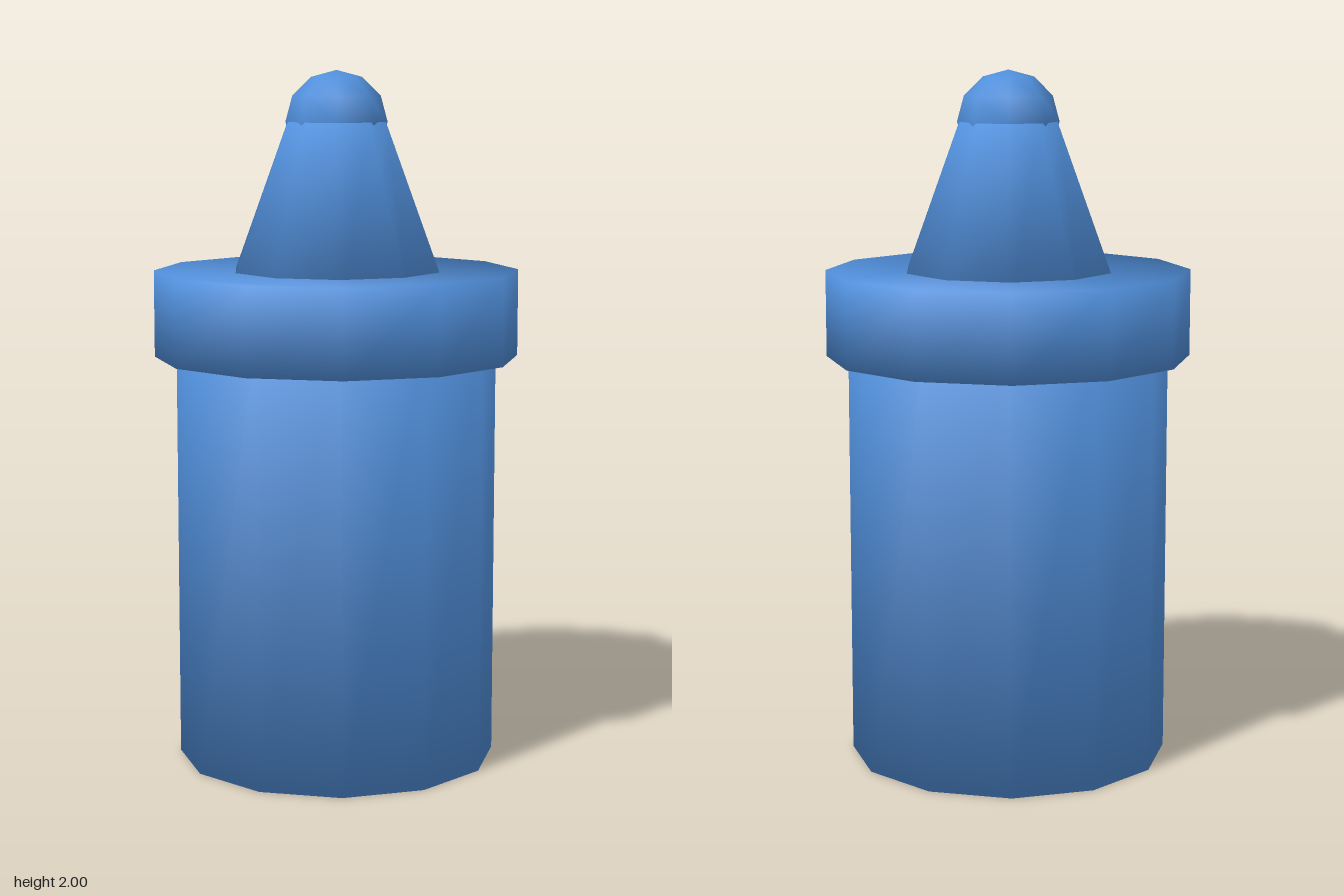
import * as THREE from 'three';

const blue = new THREE.MeshStandardMaterial({ color: 0x5190dc });
blue.name = 'blue plastic';

// Closed frustum whose rim normals are shared by wall and caps, so the shading flows round the edges.
// Each end is { r, y, out, up }: radius, height, and the radial and vertical parts of its rim normal.
function softFrustum(name, sides, bottom, top) {
  const positions = [], normals = [], index = [];
  for (const end of [bottom, top]) {
    for (let i = 0; i < sides; i++) {
      const a = (i / sides) * Math.PI * 2;
      const s = Math.sin(a), c = Math.cos(a);
      positions.push(end.r * s, end.y, end.r * c);
      normals.push(end.out * s, end.up, end.out * c);
    }
  }
  for (let i = 0; i < sides; i++) {
    const j = (i + 1) % sides;
    index.push(i, j, sides + j, i, sides + j, sides + i);
  }
  // caps as fans from the first corner
  for (let i = 1; i < sides - 1; i++) {
    index.push(0, i + 1, i, sides, sides + i, sides + i + 1);
  }
  const geometry = new THREE.BufferGeometry();
  geometry.setAttribute('position', new THREE.Float32BufferAttribute(positions, 3));
  geometry.setAttribute('normal', new THREE.Float32BufferAttribute(normals, 3));
  geometry.setIndex(index);
  const mesh = new THREE.Mesh(geometry, blue);
  mesh.name = name;
  return mesh;
}

const drum = (name, r, y0, y1) => softFrustum(name, 12,
  { r, y: y0, out: 0.77, up: -0.64 },
  { r, y: y1, out: 0.77, up: 0.64 });

export function createModel() {
  const model = new THREE.Group();
  model.name = 'bottle';

  // body, running up inside the collar
  model.add(drum('body', 0.463, 0, 1.31));
  model.add(drum('collar', 0.526, 1.18, 1.43));

  // tapered nozzle, sunk slightly into the collar
  model.add(softFrustum('nozzle', 10,
    { r: 0.331, y: 1.36, out: 0.86, up: -0.51 },
    { r: 0.146, y: 1.854, out: 0.65, up: 0.76 }));

  // round tip
  const tip = new THREE.Mesh(new THREE.SphereGeometry(0.146, 8, 6), blue);
  tip.name = 'tip';
  tip.position.y = 1.854;
  model.add(tip);

  return model;
}
